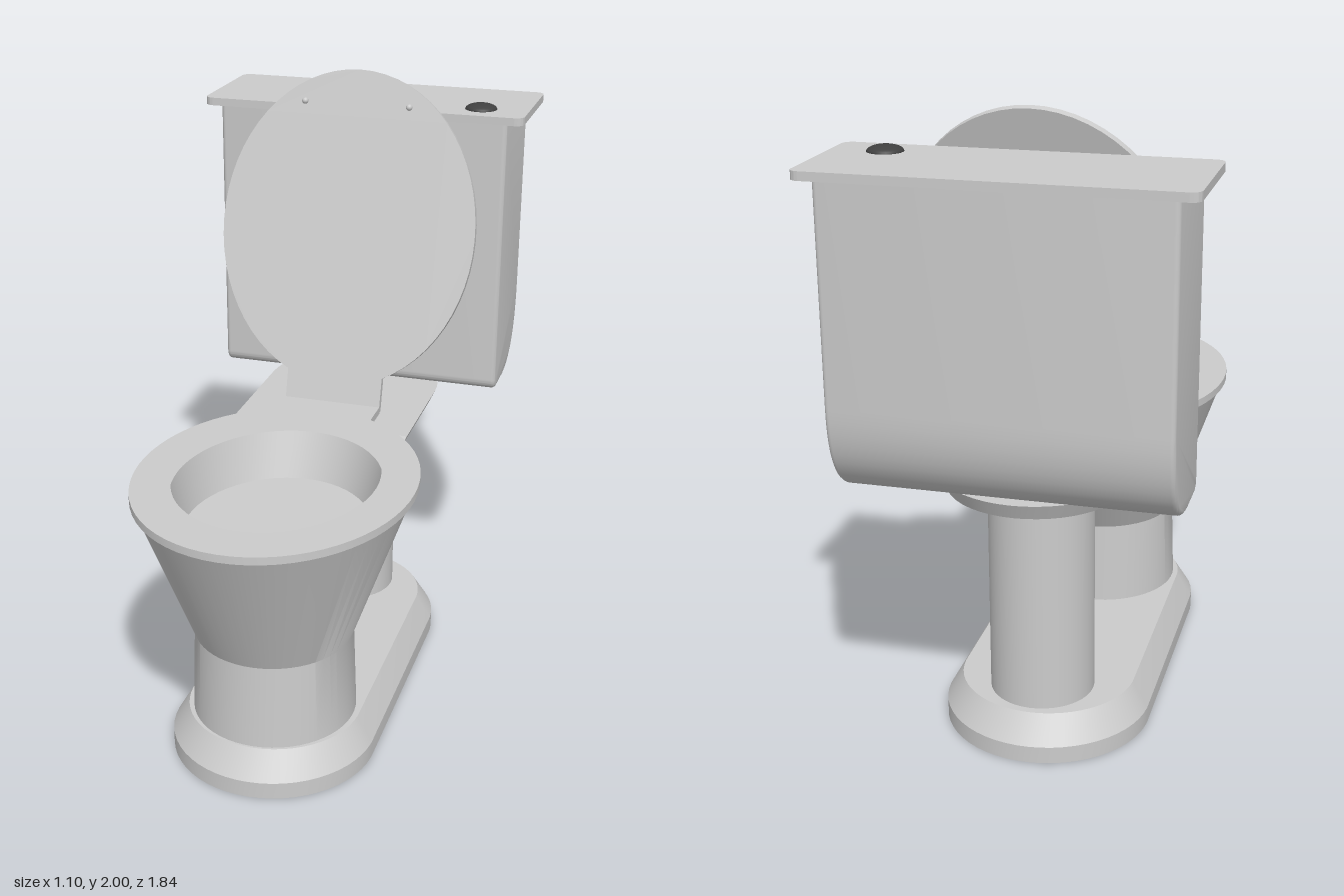
import * as THREE from 'three';
import { toCreasedNormals } from 'three/addons/utils/BufferGeometryUtils.js';

const SIDES = 56;
const grey = new THREE.MeshStandardMaterial({ color: 0xcccccc });
const dark = new THREE.MeshStandardMaterial({ color: 0x404040 });

// Skin a closed solid over rings of [x, y, z] points, listed from bottom up
function loft(rings, crease = 0.4) {
  const n = rings[0].length, pos = [];
  const tri = (...pts) => pts.forEach((p) => pos.push(...p));
  for (let i = 0; i < rings.length - 1; i++) {
    for (let j = 0; j < n; j++) {
      const k = (j + 1) % n;
      const a = rings[i][j], b = rings[i][k], c = rings[i + 1][k], d = rings[i + 1][j];
      tri(a, b, c);
      tri(a, c, d);
    }
  }
  const cap = (ring, up) => {
    const mid = [0, 1, 2].map((c) => ring.reduce((s, p) => s + p[c], 0) / n);
    for (let j = 0; j < n; j++) {
      const k = (j + 1) % n;
      if (up) tri(mid, ring[j], ring[k]);
      else tri(mid, ring[k], ring[j]);
    }
  };
  cap(rings[0], false);
  cap(rings[rings.length - 1], true);
  const geo = new THREE.BufferGeometry();
  geo.setAttribute('position', new THREE.Float32BufferAttribute(pos, 3));
  return toCreasedNormals(geo, crease);
}

// Ring with rounded ends; zFront and zBack are the centres of the two ends
function ovalRing(y, rx, rz, zFront, zBack = zFront) {
  return Array.from({ length: SIDES }, (_, j) => {
    const a = ((j + 0.5) / SIDES) * Math.PI * 2;
    return [Math.sin(a) * rx, y, Math.cos(a) * rz + (Math.cos(a) > 0 ? zFront : zBack)];
  });
}

// Ring with a straight front and a half-round back
function shelfRing(y, w, zFront, zBack) {
  const ring = [[w, y, zFront]];
  for (let j = 0; j <= 24; j++) {
    const a = Math.PI / 2 + (j / 24) * Math.PI;
    ring.push([Math.sin(a) * w, y, zBack + Math.cos(a) * w]);
  }
  ring.push([-w, y, zFront]);
  return ring;
}

// Oval with a hinge tab, drawn from the hinge line (y = 0) towards negative y
function seatShape() {
  const a = 0.435, b = 0.525, c = 0.6, tab = 0.165;
  const start = Math.asin(tab / a);
  const pts = [new THREE.Vector2(tab, 0)];
  for (let j = 0; j <= SIDES; j++) {
    const t = start + (j / SIDES) * (Math.PI * 2 - 2 * start);
    pts.push(new THREE.Vector2(Math.sin(t) * a, Math.cos(t) * b - c));
  }
  pts.push(new THREE.Vector2(-tab, 0));
  return new THREE.Shape(pts);
}

// Horizontal slab from a plan shape
function slab(shape, depth) {
  const geo = new THREE.ExtrudeGeometry(shape, { depth, bevelEnabled: false, curveSegments: 28 });
  return toCreasedNormals(geo.rotateX(-Math.PI / 2), 0.4);
}

export function createModel() {
  const model = new THREE.Group();
  const add = (name, geo, x = 0, y = 0, z = 0, material = grey, parent = model) => {
    const mesh = new THREE.Mesh(geo, material);
    mesh.name = name;
    mesh.position.set(x, y, z);
    parent.add(mesh);
    return mesh;
  };

  // Floor plinth with a sloping shoulder
  add('base', loft([
    ovalRing(0, 0.33, 0.33, 0.425, -0.34),
    ovalRing(0.055, 0.33, 0.33, 0.425, -0.34),
    ovalRing(0.14, 0.28, 0.275, 0.42, -0.335),
  ]));

  // Pedestal and bowl: up the outside, over the rim, down to the drain
  add('bowl', loft([
    ovalRing(0.13, 0.262, 0.263, 0.425),
    ovalRing(0.42, 0.252, 0.254, 0.425),
    ovalRing(0.905, 0.422, 0.519, 0.388),
    ovalRing(0.905, 0.32, 0.388, 0.384),
    ovalRing(0.76, 0.287, 0.338, 0.392),
    ovalRing(0.75, 0.09, 0.065, 0.59),
    ovalRing(0.7, 0.085, 0.06, 0.59),
  ]));

  // Rear column and the shelf under the tank
  add('column', new THREE.CylinderGeometry(0.165, 0.165, 0.74, 40), 0, 0.5, -0.42);
  add('shelf', loft([
    shelfRing(0.855, 0.275, -0.03, -0.465),
    shelfRing(0.905, 0.298, -0.06, -0.467),
  ]));

  // Seat ring
  const ring = seatShape();
  ring.holes.push(new THREE.Path().absellipse(0, -0.595, 0.315, 0.382, 0, Math.PI * 2, true));
  add('seat', slab(ring, 0.025), 0, 0.906, -0.21);

  // Raised lid leaning back, with two bumpers
  const lid = new THREE.Group();
  lid.name = 'lid';
  lid.position.set(0, 0.915, -0.2);
  lid.rotation.x = -THREE.MathUtils.degToRad(105.8);
  model.add(lid);
  add('lidPanel', slab(seatShape(), 0.023), 0, 0, 0, grey, lid);
  for (const side of [-1, 1]) {
    add('lidBumper', new THREE.SphereGeometry(0.011, 12, 8), side * 0.178, -0.003, 1.013, grey, lid);
  }

  // Tank: side profile drawn as (-z, y), swept across the width
  const r = 0.015;
  const side = new THREE.Shape();
  side.moveTo(0.52 + r, 1.835);
  side.lineTo(0.52 + r, 0.945);
  side.quadraticCurveTo(0.52 + r, 0.905 + r, 0.56, 0.905 + r);
  side.lineTo(0.67, 0.905 + r);
  side.bezierCurveTo(0.8, 0.925, 0.895 - r, 1.01, 0.895 - r, 1.2);
  side.lineTo(0.895 - r, 1.835);
  const tank = new THREE.ExtrudeGeometry(side, {
    depth: 0.96, bevelThickness: r, bevelSize: r, bevelSegments: 4, curveSegments: 14,
  });
  tank.translate(0, 0, -0.48).rotateY(Math.PI / 2);
  add('tank', toCreasedNormals(tank, 0.6));

  // Tank cover with rounded corners
  const w = 0.55, back = 0.92, front = 0.505, c = 0.03;
  const cover = new THREE.Shape();
  cover.moveTo(-w + c, front);
  cover.lineTo(w - c, front);
  cover.absarc(w - c, front + c, c, -Math.PI / 2, 0);
  cover.absarc(w - c, back - c, c, 0, Math.PI / 2);
  cover.absarc(-w + c, back - c, c, Math.PI / 2, Math.PI);
  cover.absarc(-w + c, front + c, c, Math.PI, Math.PI * 1.5);
  add('tankCover', slab(cover, 0.026), 0, 1.845, 0);

  // Domed flush button
  const button = new THREE.SphereGeometry(0.053, 32, 10, 0, Math.PI * 2, 0, Math.PI / 2);
  add('flushButton', button.scale(1, 0.36, 1), 0.39, 1.871, -0.61, dark);

  return model;
}
